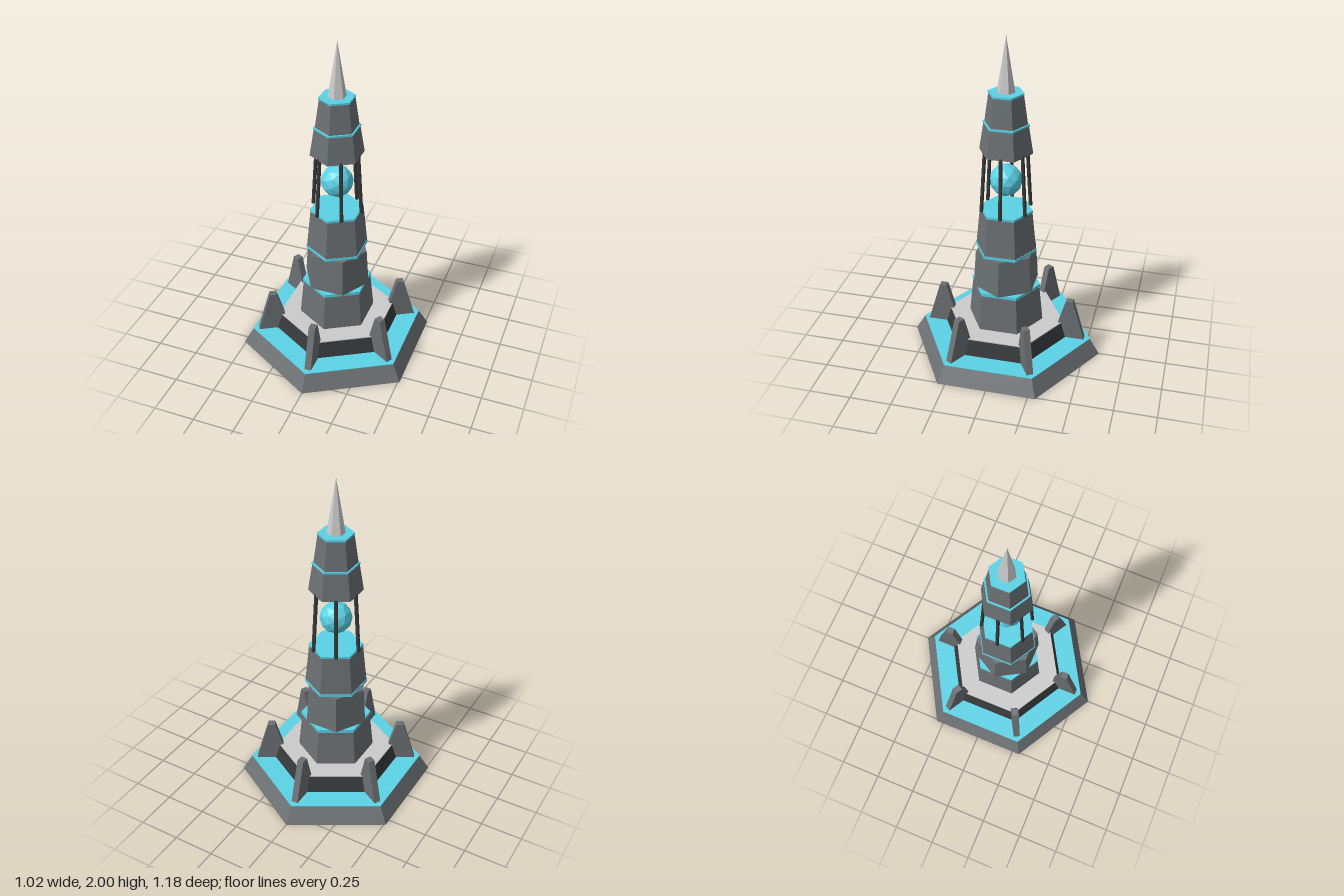
import * as THREE from 'three';

const paint = (color) => new THREE.MeshStandardMaterial({ color, flatShading: true });

export function createModel() {
  const tower = new THREE.Group();
  tower.name = 'tower';
  const dark = paint(0x6b7073), black = paint(0x37393b), glow = paint(0x5ad2e6), grey = paint(0xcccccc);

  const add = (name, geometry, material, parent = tower) => {
    const mesh = new THREE.Mesh(geometry, material);
    mesh.name = name;
    parent.add(mesh);
    return mesh;
  };

  // Six-sided tapered block standing between two heights; corners on the z axis unless turned
  const hex = (name, y0, y1, r0, r1, material, turn = 0) => {
    const geometry = new THREE.CylinderGeometry(r1, r0, y1 - y0, 6);
    geometry.rotateY(turn).translate(0, (y0 + y1) / 2, 0);
    return add(name, geometry, material);
  };

  // Stepped base
  hex('base', 0, 0.1, 0.59, 0.53, dark);
  hex('basePlate', 0.1, 0.104, 0.53, 0.53, glow);
  hex('plinth', 0.104, 0.2, 0.39, 0.362, black);
  hex('plinthTop', 0.2, 0.206, 0.36, 0.36, grey);

  // Lower tower with glowing bands
  hex('lowerBlock', 0.206, 0.435, 0.23, 0.207, dark);
  hex('lowerBand', 0.435, 0.455, 0.211, 0.211, glow);
  hex('middleBlock', 0.455, 0.685, 0.203, 0.187, dark, Math.PI / 6);
  hex('middleBand', 0.685, 0.702, 0.186, 0.186, glow);
  hex('chamberBlock', 0.702, 0.94, 0.182, 0.158, dark);
  hex('chamberFloor', 0.94, 0.955, 0.16, 0.16, glow);

  // Upper tower and spire
  hex('upperBlock', 1.32, 1.484, 0.157, 0.131, dark);
  hex('upperBand', 1.484, 1.495, 0.135, 0.135, glow);
  hex('crownBlock', 1.495, 1.665, 0.125, 0.101, dark);
  hex('crownBand', 1.665, 1.677, 0.104, 0.104, glow);
  hex('spire', 1.677, 2, 0.052, 0, grey);

  // Faceted orb floating in the open chamber
  add('orb', new THREE.IcosahedronGeometry(0.096, 1), glow).position.y = 1.137;

  // Slanted struts around the orb
  const struts = new THREE.Group();
  struts.name = 'struts';
  tower.add(struts);
  const up = new THREE.Vector3(0, 1, 0);
  for (let i = 0; i < 6; i++) {
    const a = (i * Math.PI) / 3;
    const foot = new THREE.Vector3(0.15 * Math.cos(a), 0.95, 0.15 * Math.sin(a));
    const head = new THREE.Vector3(0.126 * Math.cos(a), 1.33, 0.126 * Math.sin(a));
    const along = head.clone().sub(foot);
    const strut = add('strut', new THREE.CylinderGeometry(0.011, 0.011, along.length(), 6), black, struts);
    strut.position.copy(foot).add(head).multiplyScalar(0.5);
    strut.quaternion.setFromUnitVectors(up, along.normalize());
  }

  // Buttress fins at the base corners
  const profile = new THREE.Shape([
    new THREE.Vector2(0.3, 0.1), new THREE.Vector2(0.495, 0.1),
    new THREE.Vector2(0.418, 0.365), new THREE.Vector2(0.376, 0.365),
  ]);
  const finGeometry = new THREE.ExtrudeGeometry(profile, { depth: 0.04, bevelEnabled: false });
  finGeometry.translate(0, 0, -0.02);
  const fins = new THREE.Group();
  fins.name = 'buttresses';
  tower.add(fins);
  for (let i = 0; i < 6; i++) {
    add('buttress', finGeometry, dark, fins).rotation.y = Math.PI / 6 + (i * Math.PI) / 3;
  }

  return tower;
}
